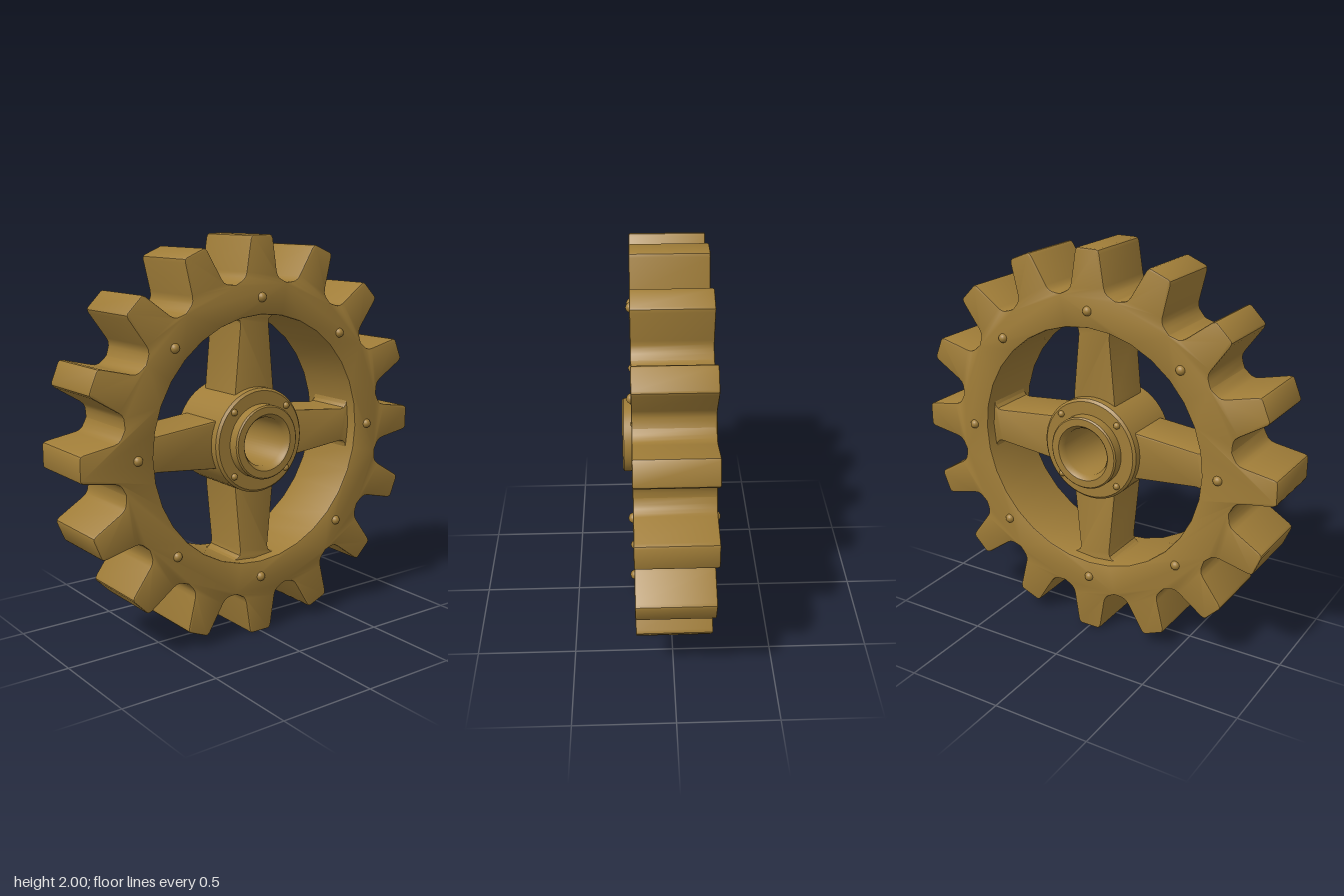
import * as THREE from 'three';
import { toCreasedNormals } from 'three/addons/utils/BufferGeometryUtils.js';

const TEETH = 16;
const bronze = new THREE.MeshStandardMaterial({ color: 0xa07d38 });
bronze.name = 'bronze';

// Bevelled slab cut from a shape and centred on z = 0
function slab(shape, halfDepth, bevel) {
  const geo = new THREE.ExtrudeGeometry(shape, {
    depth: 2 * (halfDepth - bevel), bevelEnabled: true, bevelSegments: 2,
    bevelSize: bevel, bevelThickness: bevel, bevelOffset: -bevel, curveSegments: 32,
  });
  geo.translate(0, 0, -(halfDepth - bevel));
  return toCreasedNormals(geo, 0.6);
}

function part(name, geo, parent) {
  const mesh = new THREE.Mesh(geo, bronze);
  mesh.name = name;
  parent.add(mesh);
  return mesh;
}

// Toothed rim outline: half a tooth, mirrored and repeated around the circle
function rimShape() {
  const half = [[0.05, 1], [0.06, 0.995], [0.067, 0.98], [0.091, 0.828],
    [0.098, 0.807], [0.11, 0.793], [0.127, 0.783], [0.153, 0.77]];
  const tooth = [...half.slice(0, -1).reverse(), ...half.map(([x, y]) => [-x, y])];
  const points = [];
  for (let i = 0; i < TEETH; i++) {
    const a = (i / TEETH) * Math.PI * 2, c = Math.cos(a), s = Math.sin(a);
    for (const [x, y] of tooth) points.push(new THREE.Vector2(x * c - y * s, x * s + y * c));
  }
  const shape = new THREE.Shape(points);
  const hole = [];
  for (let i = 0; i < 32; i++) {
    const a = -(i / 32) * Math.PI * 2;
    hole.push(new THREE.Vector2(0.622 * Math.cos(a), 0.622 * Math.sin(a)));
  }
  shape.holes.push(new THREE.Path(hole));
  return shape;
}

// Tapered spoke with a flared foot buried in the rim
function spokeShape() {
  const side = [[0.122, 0.18], [0.117, 0.26], [0.087, 0.57], [0.091, 0.592],
    [0.106, 0.605], [0.138, 0.612], [0.138, 0.65]];
  return new THREE.Shape([...side, ...side.slice().reverse().map(([x, y]) => [-x, y])]
    .map(([x, y]) => new THREE.Vector2(x, y)));
}

// Hub with raised collars and a chamfered bore, symmetric front to back
function hubGeometry() {
  const front = [[0.25, 0.178], [0.262, 0.166]].reverse().concat([
    [0.185, 0.178], [0.185, 0.228], [0.178, 0.235], [0.142, 0.235], [0.135, 0.228], [0.122, 0.205]]);
  const back = front.map(([r, z]) => [r, -z]).reverse();
  const loop = [...back, ...front, back[0]].map(([r, z]) => new THREE.Vector2(r, z));
  const geo = new THREE.LatheGeometry(loop, 48);
  geo.rotateX(Math.PI / 2);
  return toCreasedNormals(geo, 0.6);
}

// Ring of domed rivets on both faces
function addRivets(name, parent, count, ringRadius, start, z, radius) {
  const geo = new THREE.SphereGeometry(radius, 16, 10);
  for (const side of [1, -1]) {
    for (let i = 0; i < count; i++) {
      const a = start + (i / count) * Math.PI * 2;
      part(name, geo, parent).position.set(ringRadius * Math.cos(a), ringRadius * Math.sin(a), side * z);
    }
  }
}

export function createModel() {
  const model = new THREE.Group();
  model.name = 'gear';
  const wheel = new THREE.Group();
  wheel.name = 'wheel';
  wheel.position.y = 1;
  model.add(wheel);

  part('toothedRim', slab(rimShape(), 0.186, 0.008), wheel);

  const spoke = slab(spokeShape(), 0.13, 0.008);
  for (let i = 0; i < 4; i++) part('spoke', spoke, wheel).rotation.z = i * Math.PI / 2;

  part('hub', hubGeometry(), wheel);
  addRivets('rimRivet', wheel, 8, 0.705, 0, 0.183, 0.024);
  addRivets('hubRivet', wheel, 4, 0.226, Math.PI / 4, 0.178, 0.017);
  return model;
}
